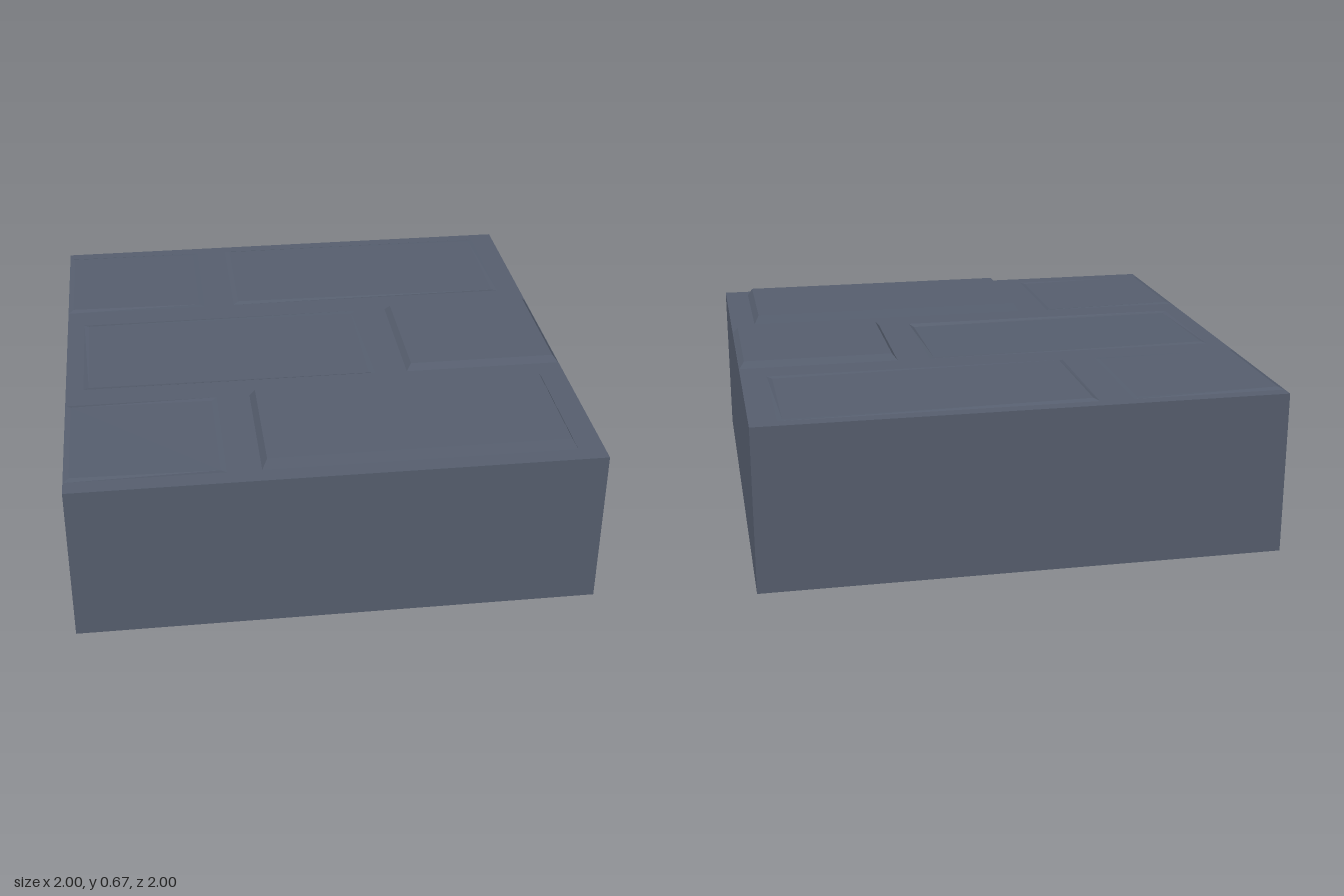
import * as THREE from 'three';

const H = 0.635; // level of the mortar
const BEVEL = 0.02;

// Each paver: x range, z range, top heights at back-left, back-right, front-right, front-left (as seen from the front)
const PAVERS = [
  { name: 'backCornerPaver', x: [-0.998, -0.41], z: [-0.95, -0.40], top: [0.643, 0.636, 0.636, 0.643] },
  { name: 'backLongPaver', x: [-0.28, 0.90], z: [-0.95, -0.40], top: [0.643, 0.636, 0.631, 0.641] },
  { name: 'middleLongPaver', x: [-0.93, 0.24], z: [-0.28, 0.27], top: [0.639, 0.634, 0.625, 0.631] },
  { name: 'middleRaisedPaver', x: [0.37, 0.998], z: [-0.28, 0.275], top: [0.66, 0.66, 0.66, 0.66] },
  { name: 'frontCornerPaver', x: [-0.998, -0.41], z: [0.39, 0.93], top: [0.639, 0.632, 0.632, 0.641] },
  { name: 'frontRaisedPaver', x: [-0.28, 0.90], z: [0.39, 0.93], top: [0.67, 0.67, 0.67, 0.67] },
];

// Corners of a rectangle: back-left, back-right, front-right, front-left
function corners([x0, x1], [z0, z1], inset = 0) {
  return [
    [x0 + inset, z0 + inset], [x1 - inset, z0 + inset],
    [x1 - inset, z1 - inset], [x0 + inset, z1 - inset],
  ];
}

// Bevelled slab whose rim meets the mortar and whose top may tilt
function paverGeometry({ x, z, top }) {
  const rim = corners(x, z).map(([px, pz]) => [px, H, pz]);
  const face = corners(x, z, BEVEL).map(([px, pz], i) => [px, top[i], pz]);
  const index = [4, 6, 5, 4, 7, 6];
  for (let i = 0; i < 4; i++) {
    const j = (i + 1) % 4;
    index.push(i, i + 4, j, j, i + 4, j + 4);
  }
  const geo = new THREE.BufferGeometry();
  geo.setAttribute('position', new THREE.Float32BufferAttribute([...rim, ...face].flat(), 3));
  geo.setIndex(index);
  const flat = geo.toNonIndexed();
  flat.computeVertexNormals();
  return flat;
}

export function createModel() {
  const group = new THREE.Group();
  const stone = new THREE.MeshStandardMaterial({ color: 0x565e6e, flatShading: true, side: THREE.DoubleSide });
  stone.name = 'slate stone';

  const add = (name, geo) => {
    const mesh = new THREE.Mesh(geo, stone);
    mesh.name = name;
    group.add(mesh);
    return mesh;
  };

  // Four outer walls, open underneath
  const walls = new THREE.CylinderGeometry(Math.SQRT2, Math.SQRT2, H, 4, 1, true, Math.PI / 4).toNonIndexed();
  walls.computeVertexNormals();
  add('blockWalls', walls).position.y = H / 2;

  // Mortar sheet with an opening for every paver
  const sheet = new THREE.Shape(corners([-1, 1], [-1, 1]).map(([x, z]) => new THREE.Vector2(x, -z)));
  for (const p of PAVERS) {
    sheet.holes.push(new THREE.Path(corners(p.x, p.z).map(([x, z]) => new THREE.Vector2(x, -z))));
  }
  add('mortar', new THREE.ShapeGeometry(sheet).rotateX(-Math.PI / 2).translate(0, H, 0));

  for (const p of PAVERS) add(p.name, paverGeometry(p));
  return group;
}
